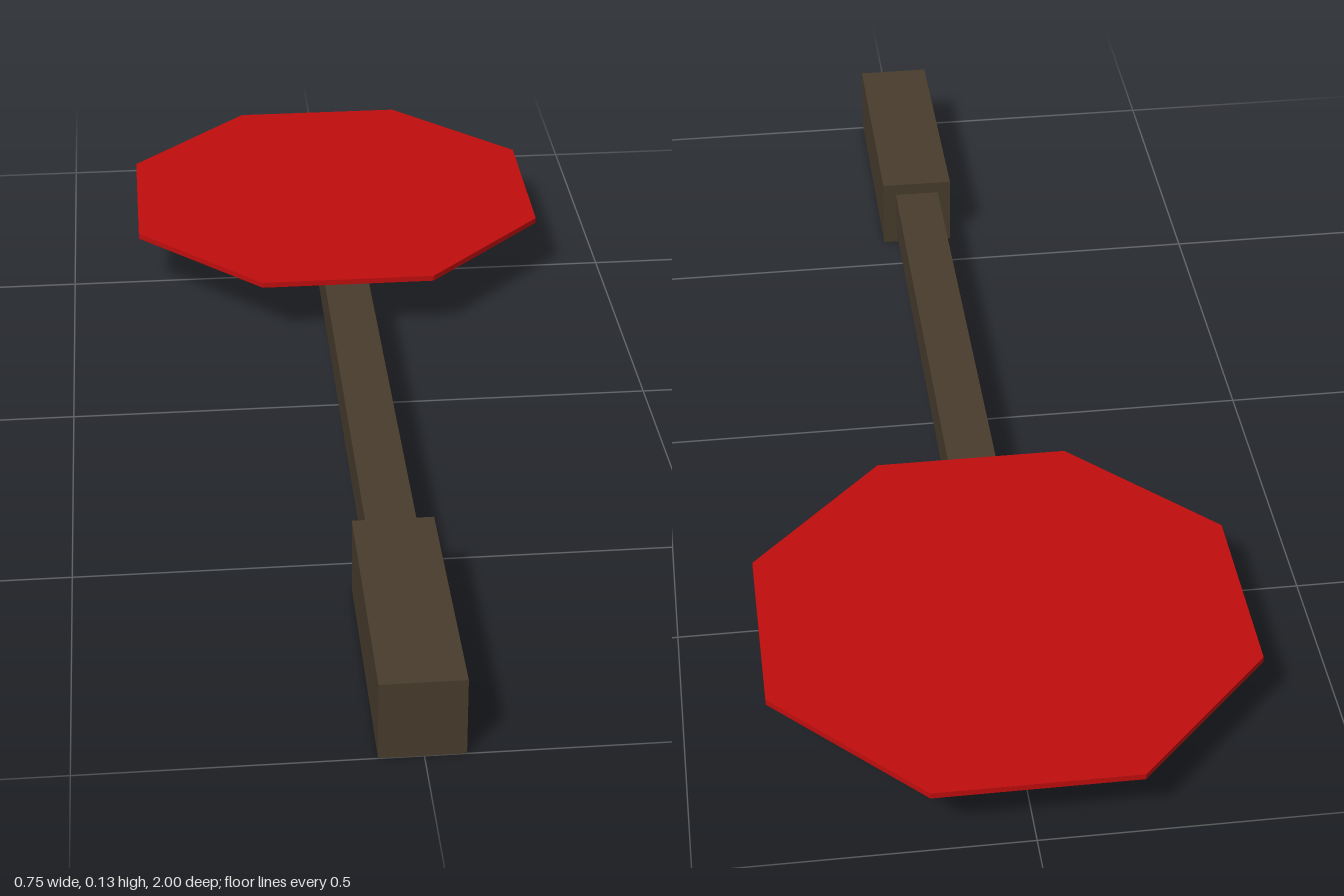
import * as THREE from 'three';

export function createModel() {
  const model = new THREE.Group();
  model.name = 'stopPaddle';

  const wood = new THREE.MeshStandardMaterial({ color: 0x483c2d });
  wood.name = 'dark wood';
  const red = new THREE.MeshStandardMaterial({ color: 0xc00d0d });
  red.name = 'sign red';

  const add = (name, geometry, material, x, y, z) => {
    const mesh = new THREE.Mesh(geometry, material);
    mesh.name = name;
    mesh.position.set(x, y, z);
    model.add(mesh);
  };

  // Thick grip at the front end
  add('grip', new THREE.BoxGeometry(0.127, 0.128, 0.425), wood, -0.0025, 0.064, 0.7875);

  // Slim square pole running under the sign
  add('pole', new THREE.BoxGeometry(0.08, 0.081, 1.345), wood, -0.0025, 0.0655, -0.0975);

  // Thin octagonal plate, flat sides facing the axes
  const apothem = 0.375;
  const radius = apothem / Math.cos(Math.PI / 8);
  const octagon = new THREE.CylinderGeometry(radius, radius, 0.01, 8)
    .rotateY(Math.PI / 8)
    .toNonIndexed();
  octagon.computeVertexNormals(); // one normal per facet
  add('signPlate', octagon, red, 0, 0.111, -0.625);

  return model;
}
